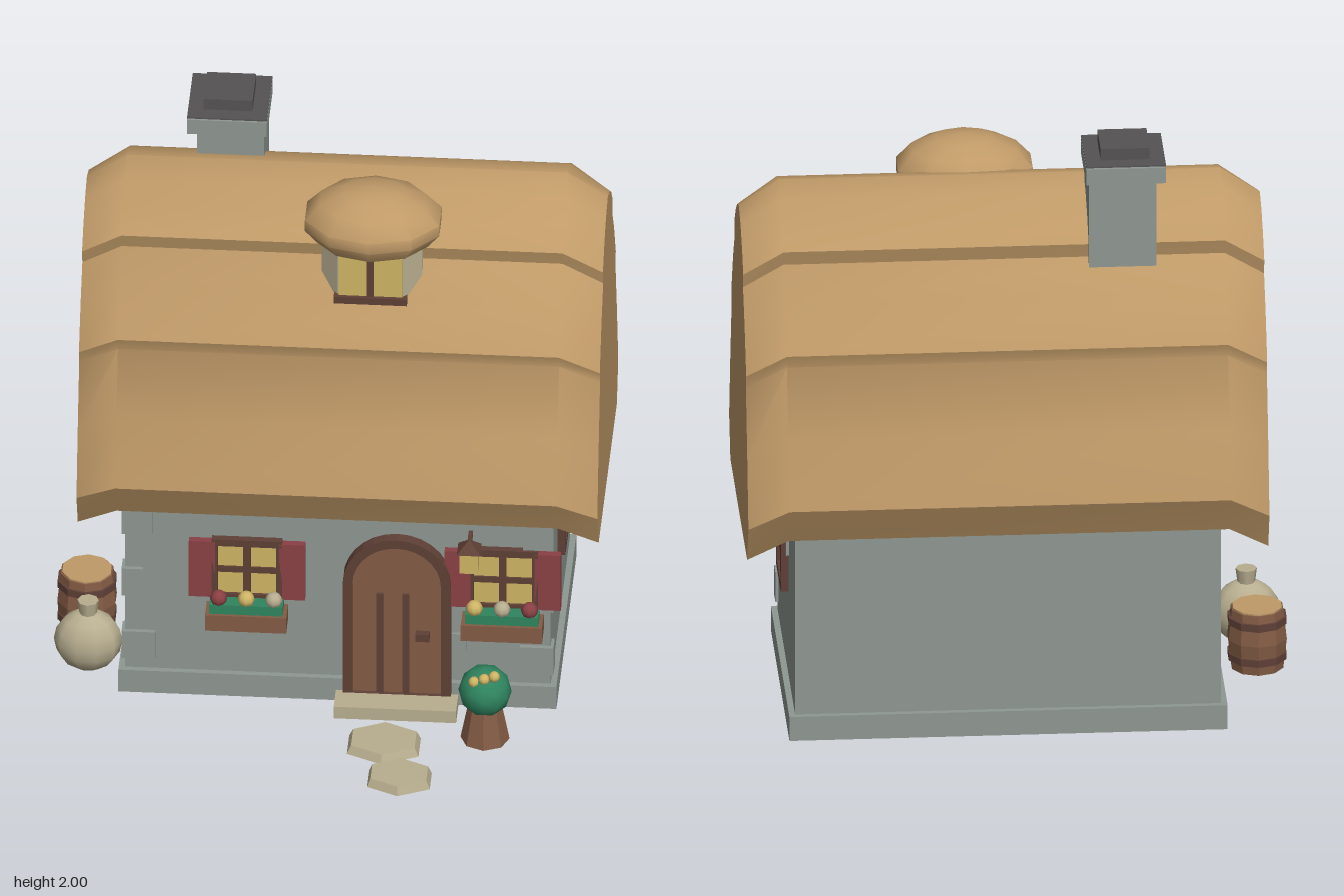
import * as THREE from 'three';
import { toCreasedNormals } from 'three/addons/utils/BufferGeometryUtils.js';

const paint = (name, color) => {
  const m = new THREE.MeshStandardMaterial({ color });
  m.name = name;
  return m;
};

export function createModel() {
  const root = new THREE.Group();
  root.name = 'cottage';
  const thatch = paint('thatch', 0xc09a68), stone = paint('stone', 0x8f9892);
  const cream = paint('cream', 0xb8ae90), wood = paint('wood', 0x835c45);
  const darkWood = paint('dark wood', 0x5f4036), glow = paint('window yellow', 0xcfb565);
  const red = paint('shutter red', 0x8a4044), green = paint('leaf green', 0x2f8560);
  const charcoal = paint('charcoal', 0x565254);

  const add = (name, geo, mat, x = 0, y = 0, z = 0, parent = root) => {
    const m = new THREE.Mesh(geo, mat);
    m.name = name;
    m.position.set(x, y, z);
    parent.add(m);
    return m;
  };
  const box = (name, mat, w, h, d, x, y, z, parent) =>
    add(name, new THREE.BoxGeometry(w, h, d), mat, x, y, z, parent);
  const group = (name, x, y, z) => {
    const g = new THREE.Group();
    g.name = name;
    g.position.set(x, y, z);
    root.add(g);
    return g;
  };
  const flat = (geo) => toCreasedNormals(geo, 0.1);

  // Walls and plinth
  box('walls', stone, 1.39, 0.9, 0.86, 0.045, 0.47, -0.23);
  box('plinth', stone, 1.43, 0.085, 0.9, 0.045, 0.0625, -0.23);

  // Corner stones on the front edges
  for (const s of [-1, 1]) {
    [[0.2, 0.11, 0.06], [0.445, 0.07, 0.06], [0.685, 0.1, 0.06]].forEach(([y, w, d]) =>
      box('cornerStone', stone, w, 0.105, d, 0.045 + s * (0.705 - w / 2), y, 0.215 - d / 2));
  }
  box('wallStone', stone, 0.07, 0.06, 0.02, 0.43, 0.26, 0.2);
  box('wallStone', stone, 0.02, 0.07, 0.06, 0.74, 0.575, -0.335);

  // Stepped thatch roof, lofted along x with drooping narrower ends
  const half = [[0.095, 1.79], [0.175, 1.74], [0.25, 1.67], [0.236, 1.62], [0.32, 1.52],
    [0.413, 1.37], [0.398, 1.325], [0.475, 1.1], [0.54, 0.873], [0.47, 0.74]];
  const profile = [...half.slice().reverse(), [0, 1.82], ...half.map(([d, y]) => [-d, y])];
  const sections = [[-0.805, 0.87, -0.09], [-0.675, 1, 0], [0.765, 1, 0], [0.895, 0.87, -0.09]]
    .map(([x, s, dy]) => profile.map(([d, y]) => [x, y + dy, -0.23 + d * s]));
  const tris = [], n = profile.length;
  for (let i = 0; i < n; i++) {
    const k = (i + 1) % n;
    for (let j = 0; j < 3; j++) {
      const [a, b] = [sections[j], sections[j + 1]];
      tris.push(a[i], b[i], b[k], a[i], b[k], a[k]);
    }
    tris.push([0.895, 1.1, -0.23], sections[3][k], sections[3][i]);
    tris.push([-0.805, 1.1, -0.23], sections[0][i], sections[0][k]);
  }
  const roofGeo = new THREE.BufferGeometry();
  roofGeo.setAttribute('position', new THREE.Float32BufferAttribute(tris.flat(), 3));
  roofGeo.computeVertexNormals();
  add('roof', toCreasedNormals(roofGeo, 0.7), thatch);

  // Chimney
  box('chimneyShaft', stone, 0.22, 0.55, 0.21, -0.34, 1.64, -0.385);
  box('chimneyCap', stone, 0.26, 0.055, 0.26, -0.35, 1.9225, -0.385);
  box('chimneyTopPlate', charcoal, 0.26, 0.005, 0.26, -0.35, 1.9575, -0.385);
  box('chimneyPot', charcoal, 0.16, 0.045, 0.16, -0.35, 1.9775, -0.385);

  // Dormer with domed thatch
  const plan = new THREE.Shape([[-0.165, 0.2], [-0.165, -0.04], [-0.108, -0.1], [0.108, -0.1],
    [0.165, -0.04], [0.165, 0.2]].map(([x, y]) => new THREE.Vector2(x, y)));
  const dormerGeo = new THREE.ExtrudeGeometry(plan, { depth: 0.2, bevelEnabled: false });
  add('dormerBody', dormerGeo.rotateX(-Math.PI / 2), cream, 0.145, 1.525, 0);
  box('dormerPane', glow, 0.21, 0.18, 0.008, 0.145, 1.615, 0.103);
  box('dormerMullion', darkWood, 0.024, 0.18, 0.012, 0.145, 1.615, 0.106);
  box('dormerSill', darkWood, 0.24, 0.025, 0.04, 0.145, 1.518, 0.1);
  const dome = [[0, 0], [0.19, 0], [0.231, 0.05], [0.231, 0.09], [0.18, 0.145], [0.1, 0.18], [0, 0.195]]
    .map(([r, y]) => new THREE.Vector2(r, y));
  const domeMesh = add('dormerDome', toCreasedNormals(new THREE.LatheGeometry(dome, 10), 0.8),
    thatch, 0.145, 1.68, -0.018);
  domeMesh.scale.z = 0.79;

  // Arched door
  const arch = (w, h) => {
    const s = new THREE.Shape();
    s.moveTo(-w, 0);
    s.lineTo(w, 0);
    s.lineTo(w, h);
    s.absarc(0, h, w, 0, Math.PI, false);
    s.closePath();
    return s;
  };
  const frame = arch(0.177, 0.425), leaf = arch(0.145, 0.425);
  frame.holes.push(leaf);
  const slab = (s, depth) => new THREE.ExtrudeGeometry(s, { depth, bevelEnabled: false, curveSegments: 7 });
  const door = group('door', 0.24, 0.065, 0.19);
  add('doorFrame', slab(frame, 0.05), darkWood, 0, 0, 0, door);
  add('doorLeaf', slab(arch(0.145, 0.425), 0.036), wood, 0, 0, 0, door);
  for (const x of [-0.055, 0.03])
    box('doorGroove', darkWood, 0.022, 0.385, 0.014, x, 0.195, 0.038, door);
  box('doorHandle', darkWood, 0.045, 0.028, 0.025, 0.085, 0.23, 0.048, door);

  // Doorstep and stepping stones
  box('doorstep', cream, 0.4, 0.045, 0.13, 0.24, 0.038, 0.255);
  for (const [x, z, r] of [[0.215, 0.47, 0.12], [0.28, 0.665, 0.105]]) {
    const s = add('steppingStone', flat(new THREE.CylinderGeometry(r, r * 1.13, 0.03, 6)), cream, x, 0.03, z);
    s.scale.z = 0.8;
  }

  // Paned windows
  const pane = (x, y, z, w, h) => {
    const g = group('window', x, y, z);
    box('glass', glow, w - 0.02, h - 0.02, 0.016, 0, 0, 0.006, g);
    for (const s of [-1, 1]) {
      box('frameSide', darkWood, 0.02, h, 0.03, s * (w / 2 - 0.01), 0, 0.01, g);
      box('frameRail', darkWood, w, 0.025, 0.03, 0, s * (h / 2 - 0.0125), 0.01, g);
    }
    box('mullion', darkWood, 0.025, h, 0.02, 0, 0, 0.01, g);
    box('crossbar', darkWood, w, 0.022, 0.02, 0, 0, 0.01, g);
    return g;
  };
  pane(0.74, 0.505, -0.225, 0.22, 0.21).rotation.y = Math.PI / 2;

  // Front windows with shutters and flower boxes
  [[-0.25, [red, glow, cream]], [0.585, [glow, cream, red]]].forEach(([x, blooms]) => {
    const g = pane(x, 0.515, 0.2, 0.23, 0.235);
    for (const s of [-1, 1])
      box('shutter', red, 0.085, 0.215, 0.025, s * 0.147, 0, 0.0125, g);
    box('flowerBox', wood, 0.265, 0.06, 0.085, 0, -0.17, 0.0425, g);
    box('boxLeaves', green, 0.24, 0.036, 0.06, 0, -0.123, 0.045, g);
    blooms.forEach((m, i) =>
      add('bloom', new THREE.SphereGeometry(0.028, 8, 6), m, (i - 1) * 0.09, -0.09, 0.055, g));
  });

  // Lantern on a bracket
  const lantern = group('lantern', 0.48, 0.595, 0.28);
  box('lanternGlass', glow, 0.06, 0.075, 0.06, 0, 0.0375, 0, lantern);
  add('lanternRoof', flat(new THREE.ConeGeometry(0.054, 0.04, 4).rotateY(Math.PI / 4)), darkWood, 0, 0.095, 0, lantern);
  box('lanternArm', darkWood, 0.014, 0.014, 0.09, 0, 0.09, -0.045, lantern);

  // Banded barrel
  const barrel = group('barrel', -0.8, 0.0, -0.17);
  const staves = [[0, 0.02], [0.088, 0.02], [0.1, 0.125], [0.088, 0.23], [0, 0.23]].map(([r, y]) => new THREE.Vector2(r, y));
  add('barrelBody', flat(new THREE.LatheGeometry(staves, 10)), wood, 0, 0, 0, barrel);
  add('barrelLid', new THREE.CylinderGeometry(0.083, 0.083, 0.006, 10), thatch, 0, 0.232, 0, barrel);
  for (const y of [0.065, 0.19])
    add('barrelBand', flat(new THREE.CylinderGeometry(0.099, 0.099, 0.025, 10)), darkWood, 0, y, 0, barrel);

  // Tied sack
  const sack = group('sack', -0.78, 0, 0.06);
  add('sackBody', new THREE.SphereGeometry(0.112, 10, 8), cream, 0, 0.113, 0, sack).scale.z = 0.75;
  add('sackNeck', new THREE.CylinderGeometry(0.035, 0.028, 0.055, 8), cream, 0, 0.238, 0, sack);

  // Bush on a tapered stump
  const pot = group('stumpPlanter', 0.54, 0, 0.395);
  add('stump', flat(new THREE.CylinderGeometry(0.055, 0.08, 0.13, 8)), wood, 0, 0.08, 0, pot);
  add('bush', new THREE.IcosahedronGeometry(0.087, 1), green, 0, 0.2, 0, pot);
  for (const i of [-1, 0, 1])
    add('bushBloom', new THREE.SphereGeometry(0.019, 8, 6), glow, i * 0.033, 0.27 + i * 0.012, 0.043, pot);

  return root;
}
